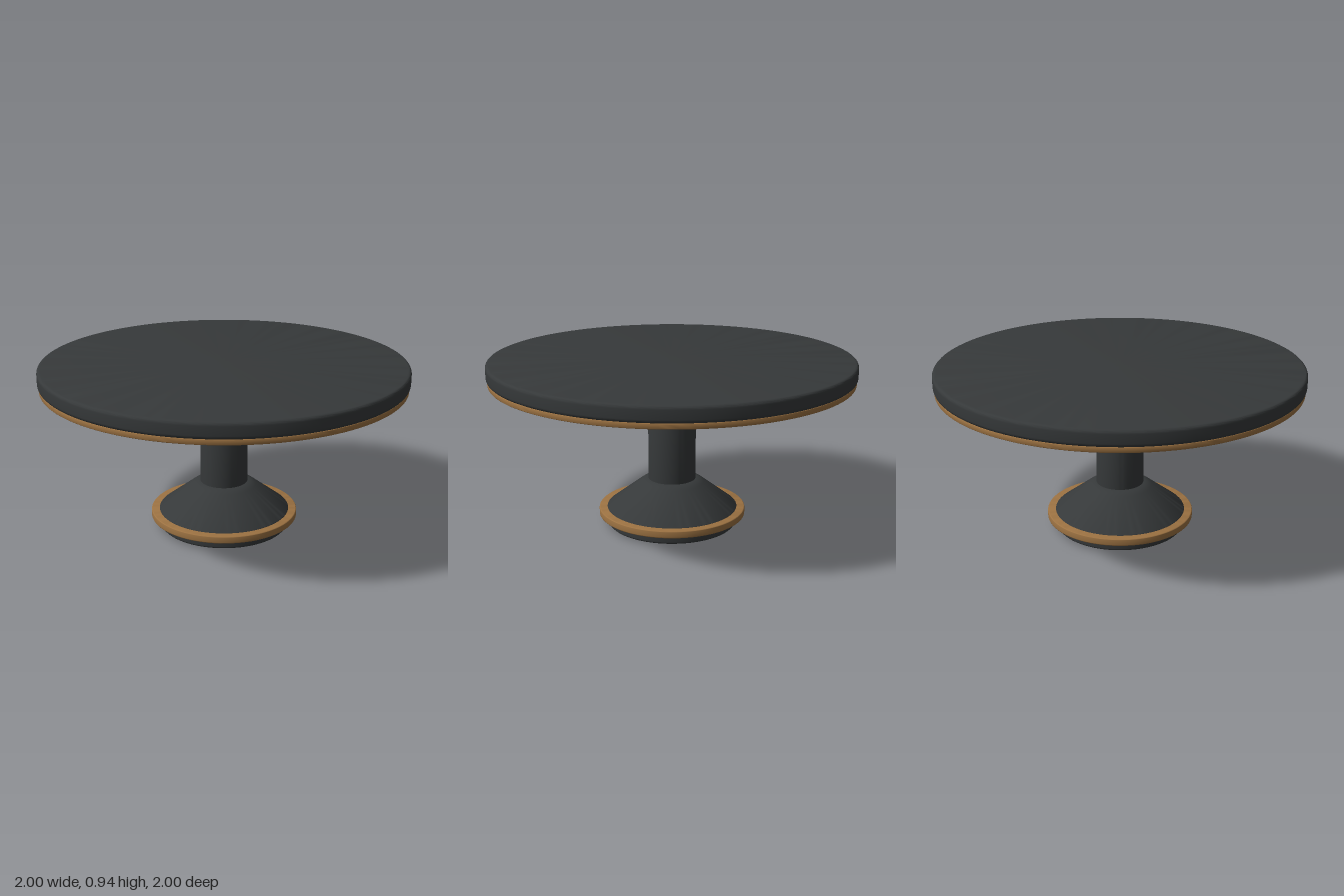
import * as THREE from 'three';
import { toCreasedNormals } from 'three/addons/utils/BufferGeometryUtils.js';

const dark = new THREE.MeshStandardMaterial({ color: 0x36393a });
const wood = new THREE.MeshStandardMaterial({ color: 0x9c7242 });

// Revolved solid: corners [radius, height, fillet] listed from bottom axis to top axis
function turned(name, corners, material, segments = 96) {
  const path = new THREE.Path();
  const pts = corners.map(([r, y]) => new THREE.Vector2(r, y));
  path.moveTo(pts[0].x, pts[0].y);
  for (let i = 1; i < pts.length - 1; i++) {
    const p = pts[i], f = corners[i][2];
    const a = pts[i - 1].clone().sub(p).setLength(f).add(p);
    const b = pts[i + 1].clone().sub(p).setLength(f).add(p);
    path.lineTo(a.x, a.y);
    path.quadraticCurveTo(p.x, p.y, b.x, b.y);
  }
  const end = pts[pts.length - 1];
  path.lineTo(end.x, end.y);
  const geometry = toCreasedNormals(new THREE.LatheGeometry(path.getPoints(5), segments), 0.6);
  const mesh = new THREE.Mesh(geometry, material);
  mesh.name = name;
  return mesh;
}

// Disc or cylinder with softened rims
function disc(name, radius, y0, y1, fillet, material, segments) {
  return turned(name, [[0, y0], [radius, y0, fillet], [radius, y1, fillet], [0, y1]], material, segments);
}

export function createModel() {
  const table = new THREE.Group();
  table.name = 'roundPedestalTable';

  // Top: dark slab over a thin wooden underside
  table.add(disc('tableTop', 1, 0.857, 0.943, 0.02, dark, 128));
  table.add(disc('topUnderside', 0.993, 0.83, 0.86, 0.006, wood, 128));

  // Pedestal column, stopping just short of the top
  table.add(disc('column', 0.132, 0.2, 0.815, 0.012, dark));

  // Flared foot
  table.add(turned('flaredFoot', [
    [0, 0.08], [0.366, 0.08, 0.005], [0.366, 0.094, 0.005], [0.152, 0.259, 0.035], [0, 0.259],
  ], dark));

  // Wooden ring and base plinth
  table.add(disc('baseRing', 0.41, 0.054, 0.094, 0.007, wood));
  table.add(disc('basePlinth', 0.36, 0, 0.07, 0.012, dark));

  return table;
}
